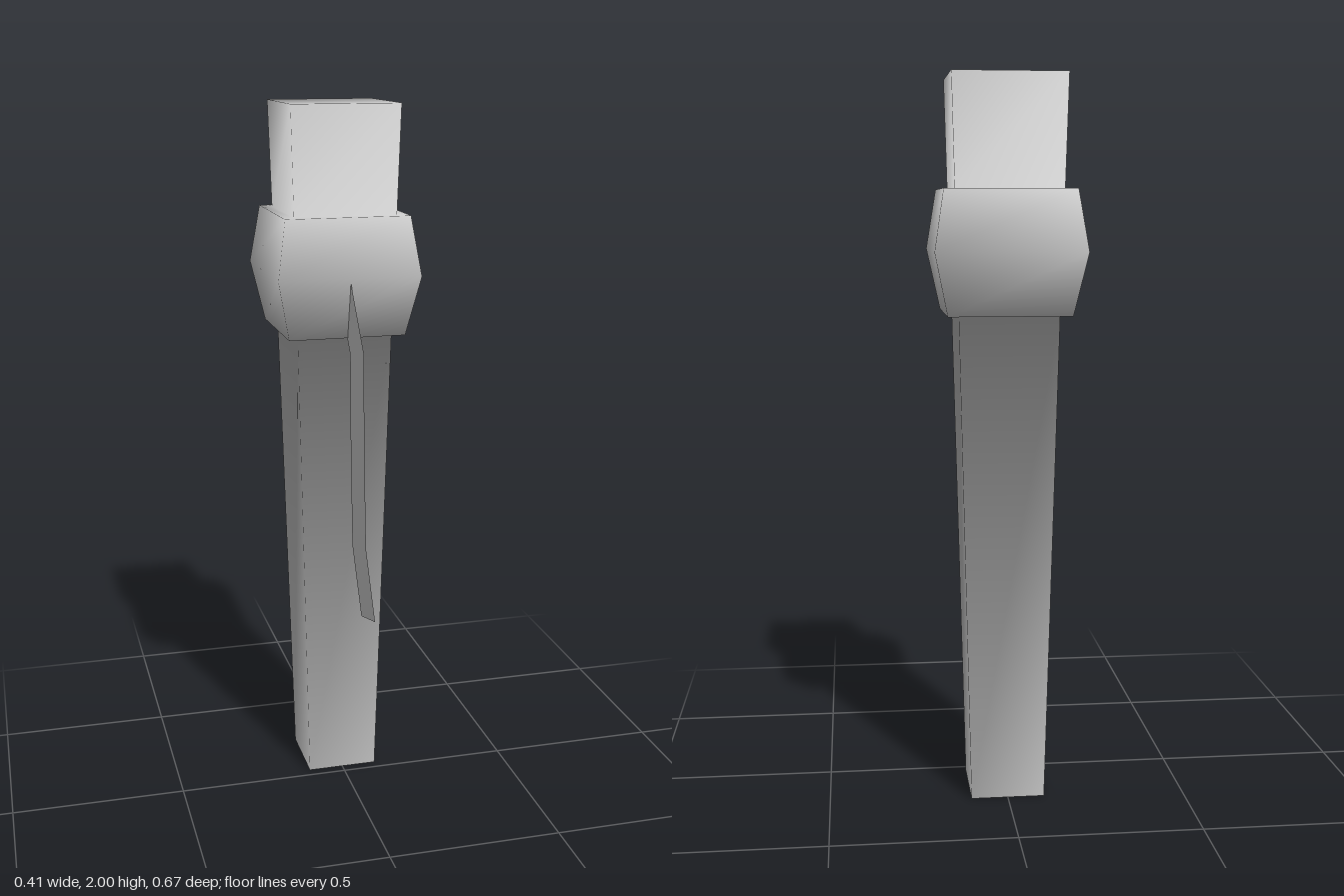
import * as THREE from 'three';

const CENTRE_Z = -0.132;

// Square cross-sections of the body from bottom to top: [height, half width]
const SECTIONS = [
  [0, 0.103], [1.365, 0.136],                 // handle
  [1.365, 0.167], [1.535, 0.203], [1.7, 0.177], // collar
  [1.7, 0.146], [2, 0.154],                   // head block
];

// Smooth normals, each face weighted by its corner angle, so ledges blend into the walls
function angleWeightedNormals(points, triangles) {
  const normals = points.map(() => new THREE.Vector3());
  for (const tri of triangles) {
    const [a, b, c] = tri.map((i) => points[i]);
    const face = new THREE.Triangle(a, b, c).getNormal(new THREE.Vector3());
    tri.forEach((v, k) => {
      const p = points[v];
      const u = points[tri[(k + 1) % 3]].clone().sub(p);
      const w = points[tri[(k + 2) % 3]].clone().sub(p);
      normals[v].addScaledVector(face, u.angleTo(w));
    });
  }
  return normals.map((n) => n.normalize());
}

function createBody(material) {
  const points = SECTIONS.flatMap(([y, r]) =>
    [[1, 1], [1, -1], [-1, -1], [-1, 1]].map(([x, z]) =>
      new THREE.Vector3(x * r, y, z * r + CENTRE_Z)));

  // One band of four walls between each pair of neighbouring sections
  const bands = [];
  for (let s = 0; s < SECTIONS.length - 1; s++) {
    const band = [];
    for (let k = 0; k < 4; k++) {
      const a = s * 4 + k, b = s * 4 + (k + 1) % 4;
      band.push([a, b, b + 4], [a, b + 4, a + 4]);
    }
    bands.push(band);
  }
  // Top cap; the bottom stays open
  const t = (SECTIONS.length - 1) * 4;
  bands.push([[t, t + 1, t + 2], [t, t + 2, t + 3]]);

  const normals = angleWeightedNormals(points, bands.flat());

  const part = (name, from, to) => {
    const corners = bands.slice(from, to).flat(2);
    const geometry = new THREE.BufferGeometry().setFromPoints(corners.map((i) => points[i]));
    geometry.setAttribute('normal', new THREE.Float32BufferAttribute(
      corners.flatMap((i) => normals[i].toArray()), 3));
    const mesh = new THREE.Mesh(geometry, material);
    mesh.name = name;
    return mesh;
  };
  return [part('handle', 0, 1), part('collar', 1, 5), part('headBlock', 5, 7)];
}

// Flat strap hanging from the front of the collar, outlined as (z, y)
function createStrap(material) {
  const outline = [
    [0.04, 1.56], [0.07, 1.525], [0.207, 1.355], [0.215, 1.1], [0.236, 0.81], [0.333, 0.632],
    [0.19, 0.592], [0.09, 0.77], [0.07, 1.05], [0.062, 1.325], [-0.06, 1.475],
  ].map(([z, y]) => new THREE.Vector2(z, y));
  const geometry = new THREE.ShapeGeometry(new THREE.Shape(outline)).rotateY(-Math.PI / 2);
  const mesh = new THREE.Mesh(geometry, material);
  mesh.name = 'strap';
  return mesh;
}

export function createModel() {
  const material = new THREE.MeshStandardMaterial({ color: 0xcccccc });
  material.name = 'light grey';
  material.side = THREE.DoubleSide;

  const model = new THREE.Group();
  model.name = 'strappedPost';
  model.add(...createBody(material), createStrap(material));
  return model;
}
